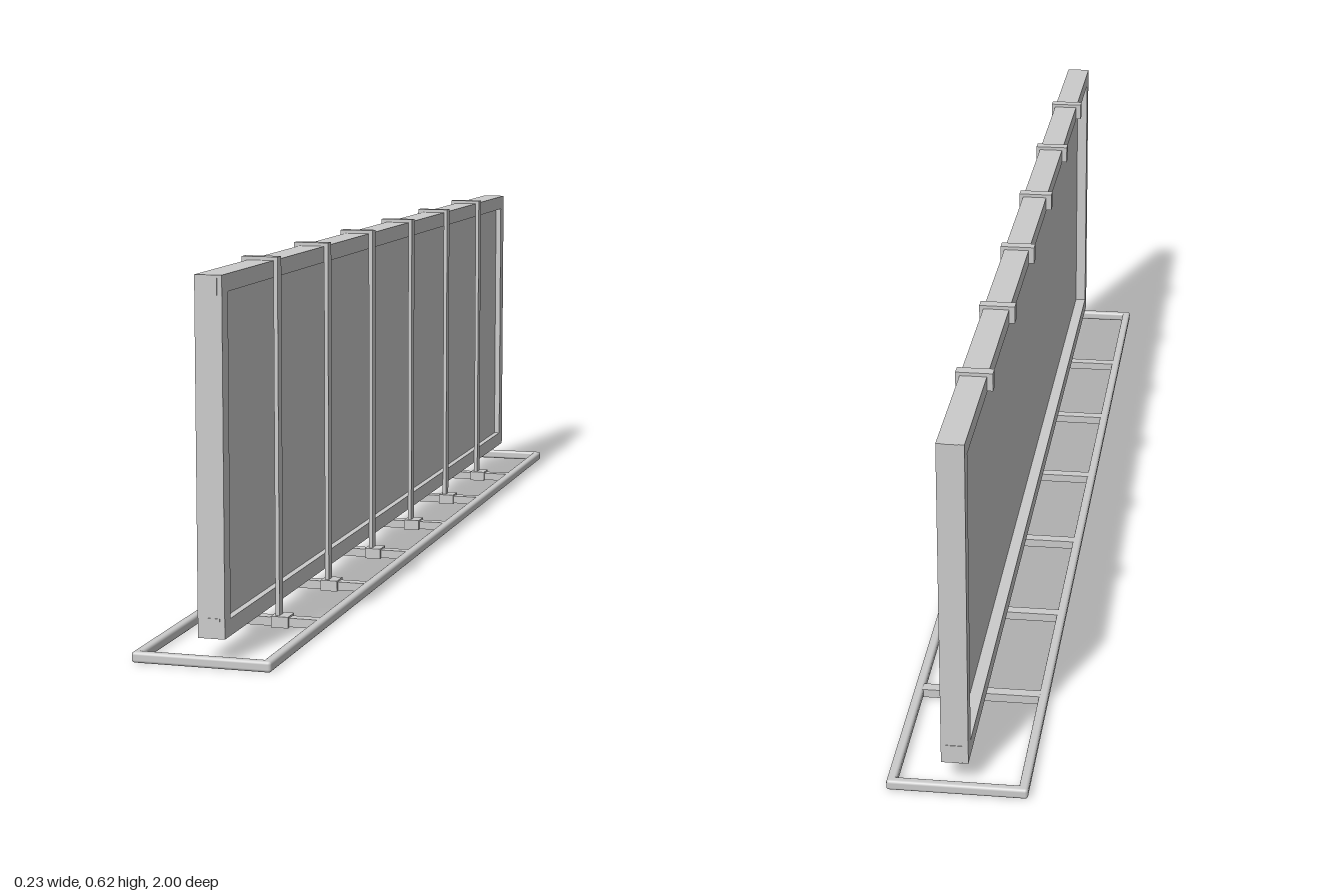
import * as THREE from 'three';
import { RoundedBoxGeometry } from 'three/addons/geometries/RoundedBoxGeometry.js';

export function createModel() {
  const model = new THREE.Group();
  const material = new THREE.MeshStandardMaterial({ color: 0xcccccc });

  const add = (name, geometry, parent = model) => {
    const mesh = new THREE.Mesh(geometry, material);
    mesh.name = name;
    parent.add(mesh);
    return mesh;
  };
  // Box given by its limits on each axis; optional rounded edges
  const bar = (name, [x0, x1], [y0, y1], [z0, z1], parent, round = 0) => {
    const size = [x1 - x0, y1 - y0, z1 - z0];
    const geometry = round
      ? new RoundedBoxGeometry(...size, 2, round)
      : new THREE.BoxGeometry(...size);
    add(name, geometry, parent).position.set((x0 + x1) / 2, (y0 + y1) / 2, (z0 + z1) / 2);
  };
  const rectangle = (Target, z0, z1, y0, y1) => {
    const r = new Target();
    r.moveTo(z0, y0);
    r.lineTo(z1, y0);
    r.lineTo(z1, y1);
    r.lineTo(z0, y1);
    r.closePath();
    return r;
  };

  // Panel frame: a rectangular ring extruded through its thickness
  const x0 = -0.015, x1 = 0.03, y0 = 0.04, y1 = 0.615, end = 0.968, border = 0.028;
  const outline = rectangle(THREE.Shape, -end, end, y0, y1);
  outline.holes.push(rectangle(THREE.Path, -end + border, end - border, y0 + border, y1 - border));
  const frame = new THREE.ExtrudeGeometry(outline, { depth: x1 - x0, bevelEnabled: false });
  frame.rotateY(Math.PI / 2); // extrusion now runs along +x
  frame.translate(x0, 0, 0);
  add('panelFrame', frame);

  // Thin sheet set back from both faces of the frame
  bar('panelSheet', [0.006, 0.019], [y0 + 0.02, y1 - 0.02], [-end + 0.02, end - 0.02]);

  // Square plugs in the frame ends
  for (const side of [-1, 1]) {
    for (const y of [0.057, 0.599]) {
      const z = side * end;
      bar('cornerPlug', [-0.005, 0.022], [y - 0.016, y + 0.016], [z - 0.001, z + 0.001]);
    }
  }

  // Floor frame of rounded bars
  const base = new THREE.Group();
  base.name = 'floorFrame';
  model.add(base);
  for (const side of [-1, 1]) {
    const x = side * 0.108, z = side * 0.992;
    bar('longRail', [x - 0.008, x + 0.008], [0, 0.018], [-1, 1], base, 0.005);
    bar('endRail', [-0.116, 0.116], [0, 0.018], [z - 0.008, z + 0.008], base, 0.005);
  }

  // Uprights with a hook over the panel and a foot clamped on the floor frame
  for (const z of [-0.705, -0.423, -0.141, 0.141, 0.423, 0.705]) {
    const support = new THREE.Group();
    support.name = 'support';
    support.position.z = z;
    model.add(support);
    const width = [-0.01, 0.01];
    bar('crossRail', [-0.108, 0.108], [0.002, 0.017], width, support);
    bar('upright', [0.03, 0.037], [0.015, 0.62], width, support);
    bar('topHook', [-0.025, 0.037], [0.615, 0.621], width, support);
    bar('hookLip', [-0.025, -0.015], [0.59, 0.621], width, support);
    bar('footPlate', [0.024, 0.054], [0.001, 0.02], [-0.017, 0.017], support);
  }
  return model;
}
